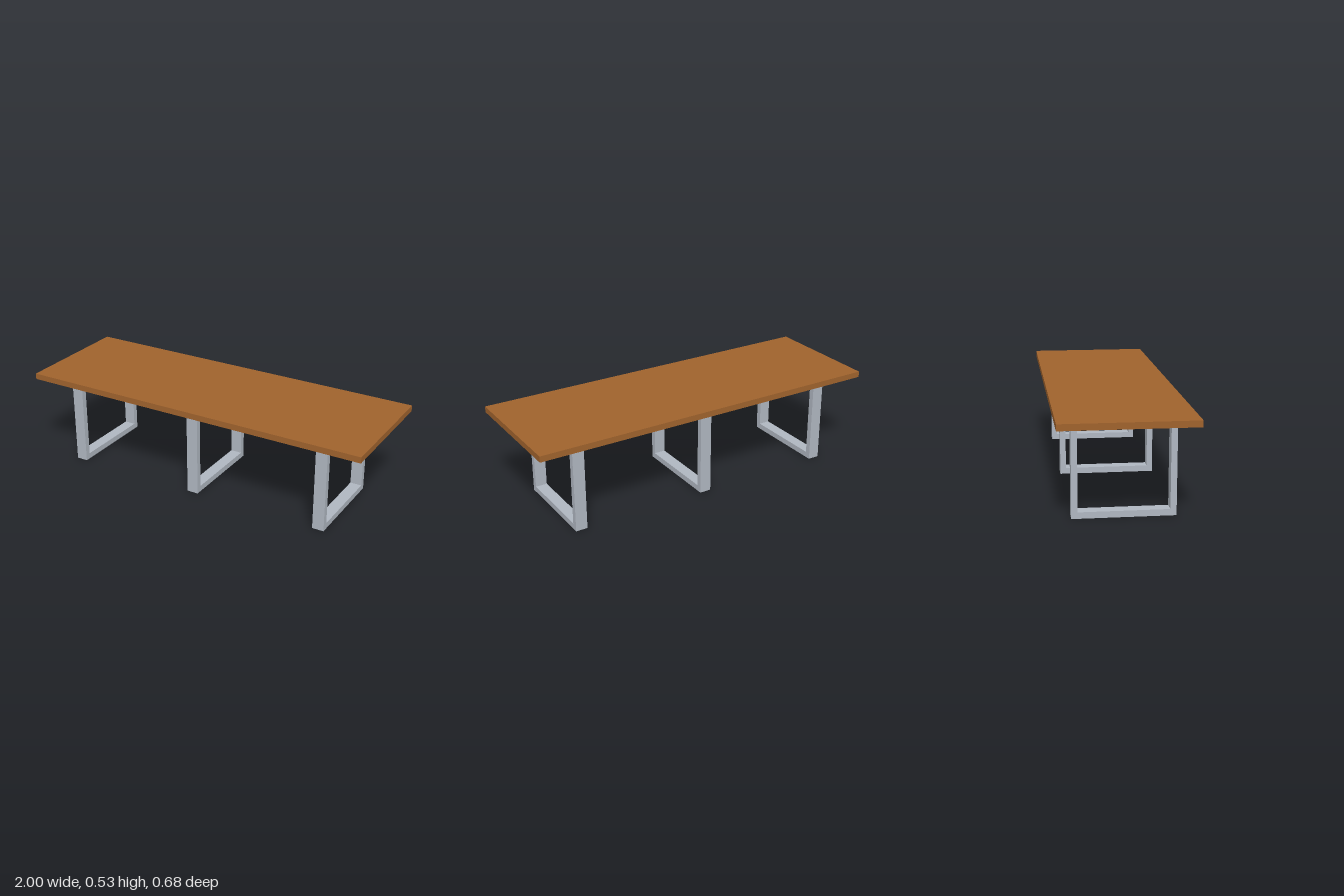
import * as THREE from 'three';

const wood = new THREE.MeshStandardMaterial({ color: 0xa0632d });
wood.name = 'brown wood';
const metal = new THREE.MeshStandardMaterial({ color: 0xb0b7c1 });
metal.name = 'grey metal';

// Rectangle outline, used for both the frame and its opening
function rectangle(target, halfWidth, bottom, top) {
  target.moveTo(-halfWidth, bottom);
  target.lineTo(halfWidth, bottom);
  target.lineTo(halfWidth, top);
  target.lineTo(-halfWidth, top);
  target.closePath();
  return target;
}

export function createModel() {
  const table = new THREE.Group();
  table.name = 'table';

  // Flat slab top
  const top = new THREE.Mesh(new THREE.BoxGeometry(2, 0.033, 0.682), wood);
  top.name = 'tableTop';
  top.position.y = 0.5095;
  table.add(top);

  // Rectangular loop legs, extruded along x
  const legWidth = 0.065;
  const outline = rectangle(new THREE.Shape(), 0.26, 0, 0.493);
  outline.holes.push(rectangle(new THREE.Path(), 0.229, 0.033, 0.454));
  const legGeometry = new THREE.ExtrudeGeometry(outline, { depth: legWidth, bevelEnabled: false });
  legGeometry.translate(0, 0, -legWidth / 2);
  legGeometry.rotateY(Math.PI / 2);

  const legs = { rightLegFrame: -0.77, middleLegFrame: -0.005, leftLegFrame: 0.759 };
  for (const [name, x] of Object.entries(legs)) {
    const leg = new THREE.Mesh(legGeometry, metal);
    leg.name = name;
    leg.position.x = x;
    table.add(leg);
  }

  return table;
}
